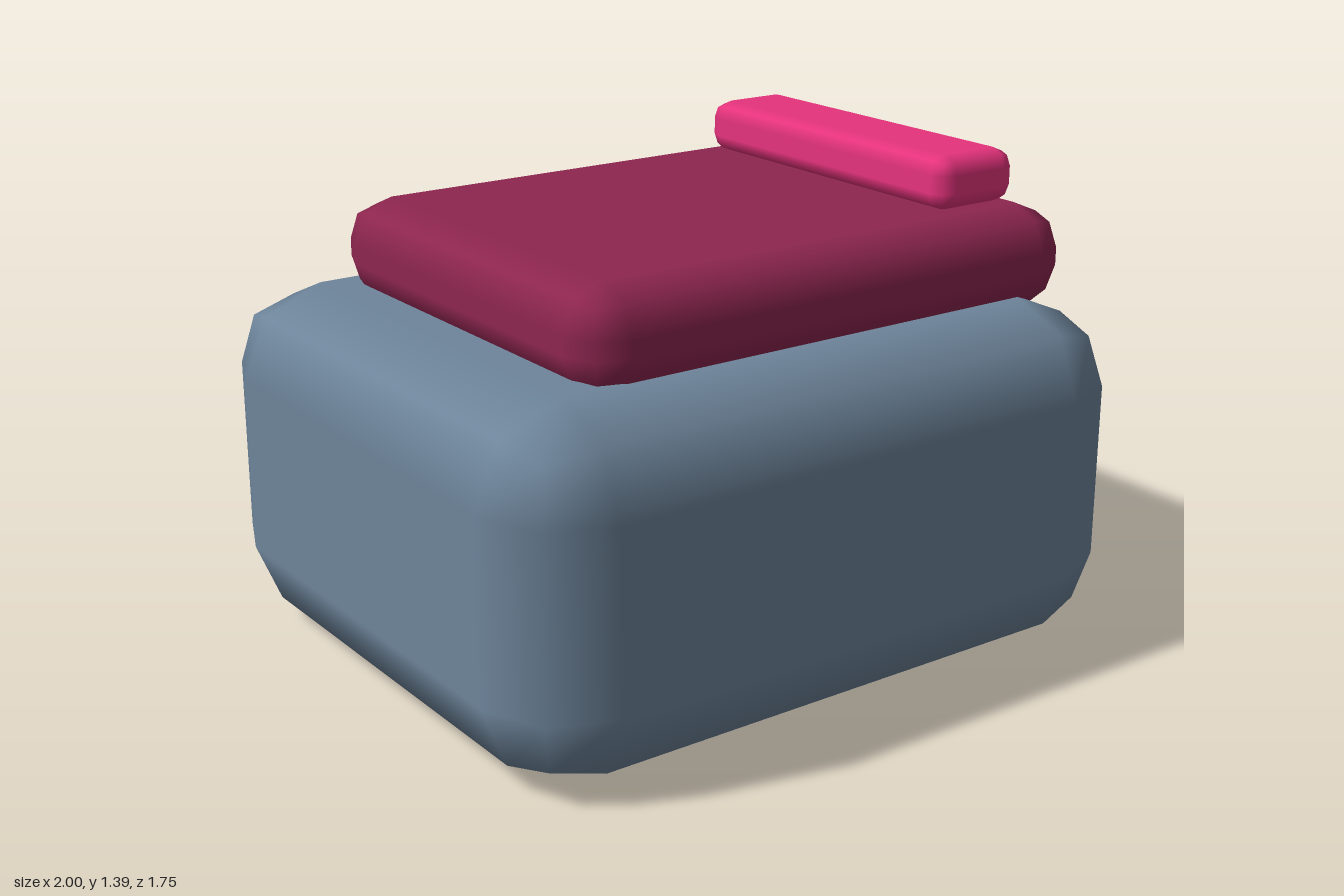
import * as THREE from 'three';
import { RoundedBoxGeometry } from 'three/addons/geometries/RoundedBoxGeometry.js';

function material(name, color) {
  const m = new THREE.MeshStandardMaterial({ color });
  m.name = name;
  return m;
}

// Soft block with one bevel step per quarter turn, standing on the given bottom height
function softBlock(name, [w, h, d], radius, x, bottom, mat) {
  const mesh = new THREE.Mesh(new RoundedBoxGeometry(w, h, d, 1, radius), mat);
  mesh.name = name;
  mesh.position.set(x, bottom + h / 2, 0);
  return mesh;
}

export function createModel() {
  const group = new THREE.Group();
  group.name = 'cushionStack';

  const slate = material('slate blue', 0x6e859b);
  const burgundy = material('burgundy', 0x8e2650);
  const pink = material('bright pink', 0xe6337d);

  group.add(
    // Large base block
    softBlock('base', [2, 1, 1.75], 0.25, 0, 0, slate),
    // Cushion, slightly sunk into the base and offset to the left
    softBlock('cushion', [1.625, 0.3, 1.315], 0.125, 0.125, 0.94, burgundy),
    // Narrow bolster lying on the cushion
    softBlock('bolster', [0.28, 0.155, 1.06], 0.052, 0.685, 1.237, pink),
  );
  return group;
}
